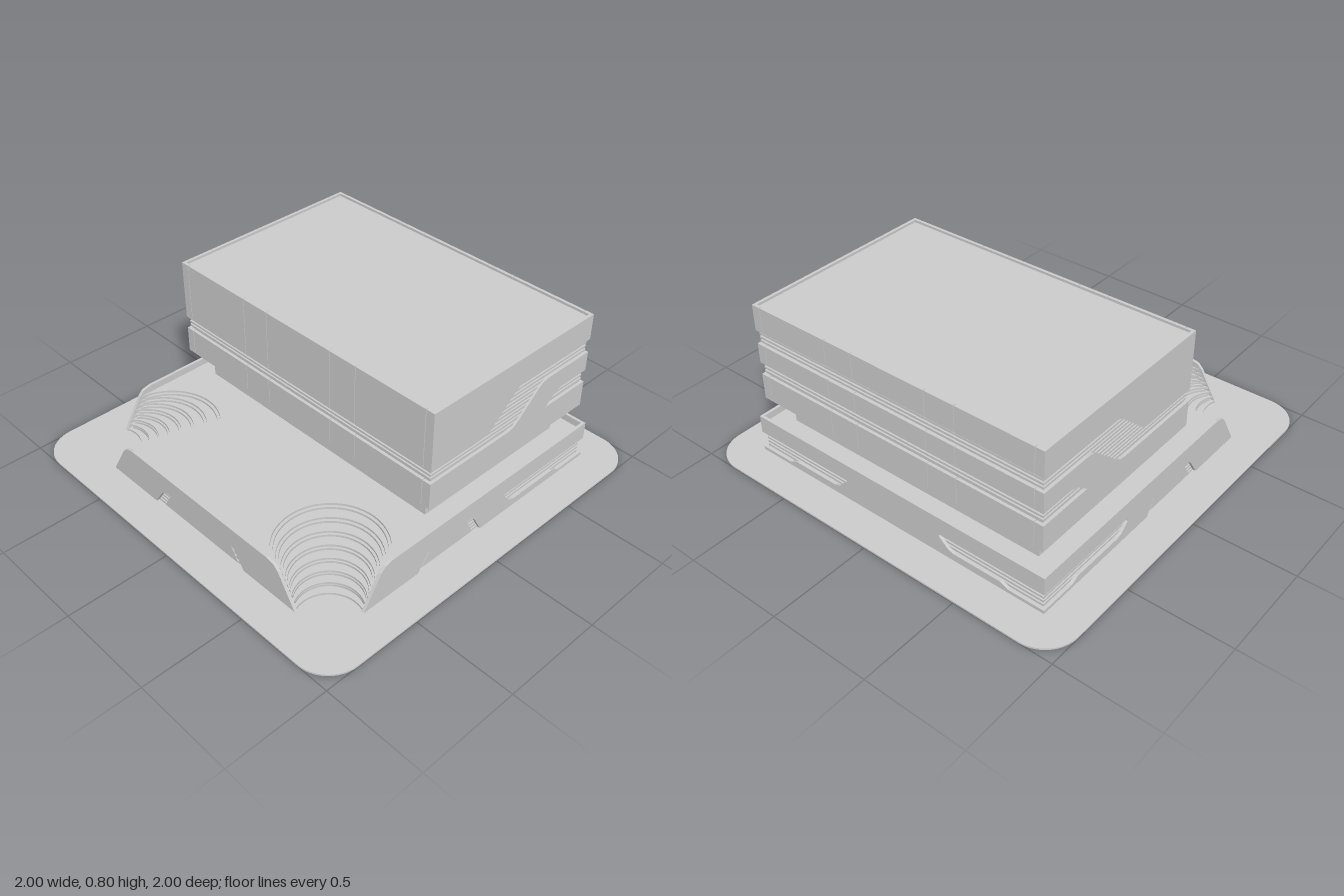
import * as THREE from 'three';

const material = new THREE.MeshStandardMaterial({ color: 0xcccccc, side: THREE.DoubleSide });
const T = 0.015; // thickness of the outer facade panels

function add(group, name, geometry) {
  const mesh = new THREE.Mesh(geometry, material);
  mesh.name = name;
  group.add(mesh);
  return mesh;
}

// box given by its limits
function block(group, name, x0, x1, y0, y1, z0, z1) {
  const mesh = add(group, name, new THREE.BoxGeometry(x1 - x0, y1 - y0, z1 - z0));
  mesh.position.set((x0 + x1) / 2, (y0 + y1) / 2, (z0 + z1) / 2);
}

const outline = (pts) => new THREE.Shape(pts.map(([a, b]) => new THREE.Vector2(a, b)));
const extrude = (shape, depth) =>
  new THREE.ExtrudeGeometry(shape, { depth, bevelEnabled: false, curveSegments: 24 });

// upright panel drawn in (x, y), starting at z
const facingZ = (pts, z, depth = T) => extrude(outline(pts), depth).translate(0, 0, z);
// upright panel drawn in (z, y), with its outer face at x
const facingX = (pts, x, depth = T) => extrude(outline(pts), depth).rotateY(-Math.PI / 2).translate(x, 0, 0);
// horizontal plate drawn in (x, -z), with its underside at y
const plate = (shape, y, depth) => extrude(shape, depth).rotateX(-Math.PI / 2).translate(0, y, 0);

// closes a right-hand half outline with its mirror image
const mirrored = (half) => [...half, ...half.map(([x, y]) => [-x, y]).reverse()];

function roundedSquare(h, r) {
  const s = new THREE.Shape();
  s.absarc(h - r, h - r, r, 0, Math.PI / 2);
  s.absarc(r - h, h - r, r, Math.PI / 2, Math.PI);
  s.absarc(r - h, r - h, r, Math.PI, Math.PI * 1.5);
  s.absarc(h - r, r - h, r, Math.PI * 1.5, Math.PI * 2);
  return s;
}

// podium layer with a round bite out of each front corner: t = 0 at the ground, 1 at the deck
function podiumLayer(t, h) {
  const e = 0.19 + 0.1 * t;
  const c = 0.05 + 0.2 * t;
  const r = Math.hypot(e - c, c);
  const a0 = Math.atan2(e - c, -c);
  const a1 = Math.atan2(-c, e - c);
  const s = new THREE.Shape();
  s.moveTo(h, h);
  s.lineTo(-h, h);
  s.lineTo(-h, e - h);
  s.absarc(c - h, c - h, r, a0, a1, true);
  s.lineTo(h - e, -h);
  s.absarc(h - c, c - h, r, Math.PI - a1, Math.PI - a0, true);
  s.lineTo(h, h);
  return s;
}

function buildPodium() {
  const g = new THREE.Group();
  g.name = 'podium';

  // stacked layers form the corner steps and the louvres behind the wall slots
  const layers = 15, base = 0.008, step = (0.165 - base) / layers;
  for (let i = 0; i < layers; i++) {
    const h = i % 2 === 0 ? 0.81 : 0.797;
    add(g, 'steppedLayer', plate(podiumLayer(i / (layers - 1), h), base + i * step, step));
  }

  // front wall with sloping ends and a wide entrance
  add(g, 'frontWall', facingZ(mirrored([
    [0.31, 0], [0.63, 0], [0.53, 0.165], [0.505, 0.19], [0.46, 0.2],
  ]).slice(0, 5).concat([
    [-0.46, 0.2], [-0.505, 0.19], [-0.53, 0.165], [-0.63, 0], [-0.31, 0],
    [-0.25, 0.09], [-0.22, 0.108], [0.22, 0.108], [0.25, 0.09],
  ]), 0.81));
  add(g, 'frontEntrance', facingZ(mirrored([[0.26, 0], [0.215, 0.075], [0.19, 0.108]]), 0.8, 0.012));

  // side walls with an entrance and a louvre slot that runs to the back corner
  const side = [
    [0.63, 0], [0.53, 0.165], [0.505, 0.19], [0.46, 0.2], [-0.825, 0.2], [-0.825, 0.11],
    [-0.25, 0.11], [-0.25, 0.095], [-0.29, 0.055], [-0.32, 0.045], [-0.6, 0.045],
    [-0.64, 0.025], [-0.825, 0.025], [-0.825, 0], [-0.1, 0], [-0.05, 0.09],
    [-0.03, 0.107], [0.23, 0.107], [0.25, 0.09], [0.31, 0],
  ];
  const door = [[0.27, 0], [0.22, 0.08], [0.2, 0.107], [0, 0.107], [-0.02, 0.08], [-0.06, 0]];
  for (const s of [-1, 1]) {
    add(g, 'sideWall', facingX(side, s > 0 ? 0.825 : -0.81));
    add(g, 'sideEntrance', facingX(door, s > 0 ? 0.812 : -0.8, 0.012));
  }

  // back wall with a slot at each end
  add(g, 'backWall', facingZ(mirrored([
    [0.825, 0], [0.825, 0.025], [0.64, 0.025], [0.6, 0.045], [0.35, 0.045], [0.32, 0.055],
    [0.27, 0.1], [0.27, 0.11], [0.825, 0.11], [0.825, 0.2],
  ]), -0.825));
  return g;
}

function buildUpperBlock() {
  const g = new THREE.Group();
  g.name = 'upperBlock';
  const X = 0.795, Z0 = -0.8, Z1 = 0.225;

  block(g, 'core', -0.768, 0.768, 0.31, 0.78, Z0 + 0.027, Z1 - 0.027);
  block(g, 'soffit', -X + T, X - T, 0.31, 0.325, Z0 + T, Z1 - T);
  block(g, 'roof', -X + T, X - T, 0.77, 0.788, Z0 + T, Z1 - T);

  // horizontal louvres seen through the facade bands
  for (let y = 0.447; y < 0.67; y += 0.02) {
    block(g, 'louvre', -0.785, 0.785, y, y + 0.011, Z0 + 0.01, Z1 - 0.01);
  }

  // front and back facades: bands of panels with narrow joints
  const joints = [-X, -0.75, -0.355, -0.2, 0.2, 0.355, 0.75, X];
  const bands = (name, z, rows) => {
    for (const [y0, y1] of rows) {
      for (let i = 0; i < joints.length - 1; i++) {
        const a = joints[i] + (i ? 0.0015 : 0);
        const b = joints[i + 1] - (i < joints.length - 2 ? 0.0015 : 0);
        block(g, name, a, b, y0, y1, z, z + T);
      }
    }
  };
  bands('frontPanel', Z1 - T, [[0.305, 0.437], [0.5, 0.8]]);
  bands('backPanel', Z0, [[0.305, 0.437], [0.5, 0.6], [0.67, 0.8]]);

  // side facades: the louvre band climbs towards the back, a second one starts below it
  const upper = [
    [Z1, 0.5], [Z1, 0.8], [Z0, 0.8], [Z0, 0.67], [-0.36, 0.67], [-0.325, 0.664],
    [-0.295, 0.648], [-0.145, 0.518], [-0.12, 0.504], [-0.09, 0.5],
  ];
  const lower = [
    [Z1, 0.305], [Z1, 0.437], [-0.26, 0.437], [-0.295, 0.442], [-0.325, 0.46],
    [-0.46, 0.577], [-0.485, 0.594], [-0.52, 0.6], [Z0, 0.6], [Z0, 0.5], [-0.63, 0.5],
    [-0.6, 0.495], [-0.575, 0.48], [-0.52, 0.437], [Z0, 0.437], [Z0, 0.305],
  ];
  for (const x of [X, -X + T]) {
    add(g, 'upperSidePanel', facingX(upper, x));
    add(g, 'lowerSidePanel', facingX(lower, x));
  }
  return g;
}

export function createModel() {
  const model = new THREE.Group();
  model.name = 'building';
  add(model, 'groundPlate', plate(roundedSquare(1, 0.17), 0, 0.008));
  model.add(buildPodium());
  // set-back storey between podium and upper block
  block(model, 'recessedStorey', -0.708, 0.708, 0.16, 0.315, -0.712, 0.145);
  model.add(buildUpperBlock());
  return model;
}
